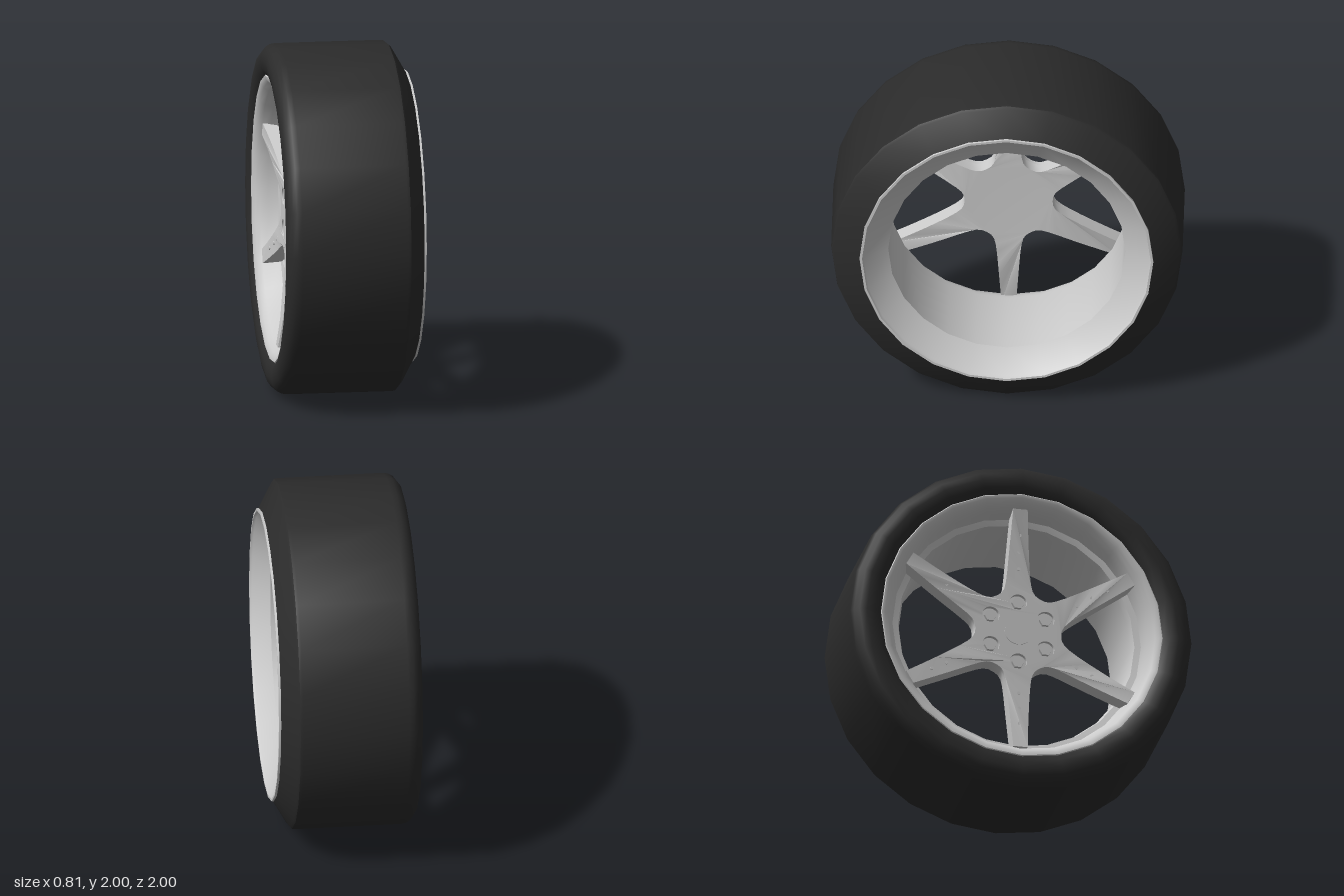
import * as THREE from 'three';
import { toCreasedNormals } from 'three/addons/utils/BufferGeometryUtils.js';

const grey = new THREE.MeshStandardMaterial({ color: 0xcccccc });
const greyOpen = new THREE.MeshStandardMaterial({ color: 0xcccccc, side: THREE.DoubleSide });
const rubber = new THREE.MeshStandardMaterial({ color: 0x2b2b2b });
const SPOKES = 6;

export function createModel() {
  const model = new THREE.Group();
  const wheel = new THREE.Group();
  wheel.name = 'wheel';
  wheel.position.y = 1;
  model.add(wheel);

  const add = (name, geometry, material, parent = wheel) => {
    const mesh = new THREE.Mesh(geometry, material);
    mesh.name = name;
    parent.add(mesh);
    return mesh;
  };

  // Turn a profile of [x, radius] points about the x axis
  const turned = (profile) => {
    const g = new THREE.LatheGeometry(profile.map(([x, r]) => new THREE.Vector2(r, x)), 24);
    g.rotateZ(-Math.PI / 2);
    return toCreasedNormals(g, 0.5);
  };

  // Tyre: rounded outer shoulder, bevelled inner shoulder
  add('tyre', turned([
    [-0.36, 0.8], [-0.385, 0.825], [-0.405, 0.86], [-0.41, 0.91], [-0.402, 0.95],
    [-0.38, 0.98], [-0.355, 0.995], [-0.325, 1], [0.28, 1], [0.297, 0.997],
    [0.308, 0.985], [0.393, 0.835], [0.38, 0.8], [-0.36, 0.8],
  ]), rubber);

  // Rim: thin lip, tapered seat, barrel, ledge and dished outer flange
  add('rim', turned([
    [0.38, 0.836], [0.405, 0.836], [0.405, 0.822], [0.39, 0.813], [0.3, 0.675],
    [-0.19, 0.675], [-0.235, 0.69], [-0.245, 0.725], [-0.3, 0.74], [-0.345, 0.757],
    [-0.37, 0.78], [-0.385, 0.8], [-0.388, 0.818], [-0.37, 0.835],
  ]), greyOpen);

  // Spokes sweep outward beyond the hub
  const sweep = (r) => -0.055 * Math.max(0, (r - 0.27) / 0.47) ** 1.6;

  // Star outline: half of one spoke, mirrored and repeated
  const half = [
    [0.125, 0.217], [0.1, 0.235], [0.083, 0.262], [0.074, 0.3], [0.067, 0.36],
    [0.061, 0.44], [0.055, 0.53], [0.048, 0.64], [0.042, 0.745],
  ];
  const starShape = () => {
    const points = [];
    for (let k = 0; k < SPOKES; k++) {
      const a = (k / SPOKES) * Math.PI * 2;
      const mirrored = half.slice(1).reverse().map(([p, q]) => [-p, q]);
      for (const [p, q] of [...half, ...mirrored]) {
        points.push(new THREE.Vector2(p * Math.cos(a) - q * Math.sin(a), p * Math.sin(a) + q * Math.cos(a)));
      }
    }
    return new THREE.Shape(points);
  };
  const spokeAt = (k, r) => {
    const a = Math.PI / 2 + (k / SPOKES) * Math.PI * 2;
    return [Math.cos(a) * r, Math.sin(a) * r];
  };

  // Extrude toward -x, then bend by the sweep rule
  const plate = (shape, x, depth) => {
    const g = new THREE.ExtrudeGeometry(shape, { depth, bevelEnabled: false, curveSegments: 12 });
    g.rotateY(-Math.PI / 2);
    const pos = g.attributes.position;
    for (let i = 0; i < pos.count; i++) {
      pos.setX(i, pos.getX(i) + x + sweep(Math.hypot(pos.getY(i), pos.getZ(i))));
    }
    return toCreasedNormals(g, 0.5);
  };

  const face = starShape();
  for (let k = 0; k < SPOKES; k++) {
    const [u, v] = spokeAt(k, 0.185);
    face.holes.push(new THREE.Path().absarc(u, v, 0.05, 0, Math.PI * 2, true));
  }
  const spokes = new THREE.Group();
  spokes.name = 'spokes';
  wheel.add(spokes);
  add('spokeBack', plate(starShape(), -0.19, 0.075), grey, spokes);
  add('spokeFace', plate(face, -0.265, 0.025), grey, spokes);

  // Disc-like fittings with their axis along x
  const fitting = (name, radius, sides, depth, x, [z, y]) => {
    const g = new THREE.CylinderGeometry(radius, radius, depth, sides);
    g.rotateZ(Math.PI / 2);
    add(name, toCreasedNormals(g, 0.6), grey).position.set(x, y, z);
  };
  fitting('centreCap', 0.08, 24, 0.02, -0.285, [0, 0]);
  for (let k = 0; k < SPOKES; k++) {
    fitting('wheelNut', 0.036, 6, 0.025, -0.272, spokeAt(k, 0.185));
    for (const r of [0.39, 0.49, 0.59]) {
      fitting('rivet', 0.011, 8, 0.02, -0.286 + sweep(r), spokeAt(k, r));
    }
  }
  return model;
}
